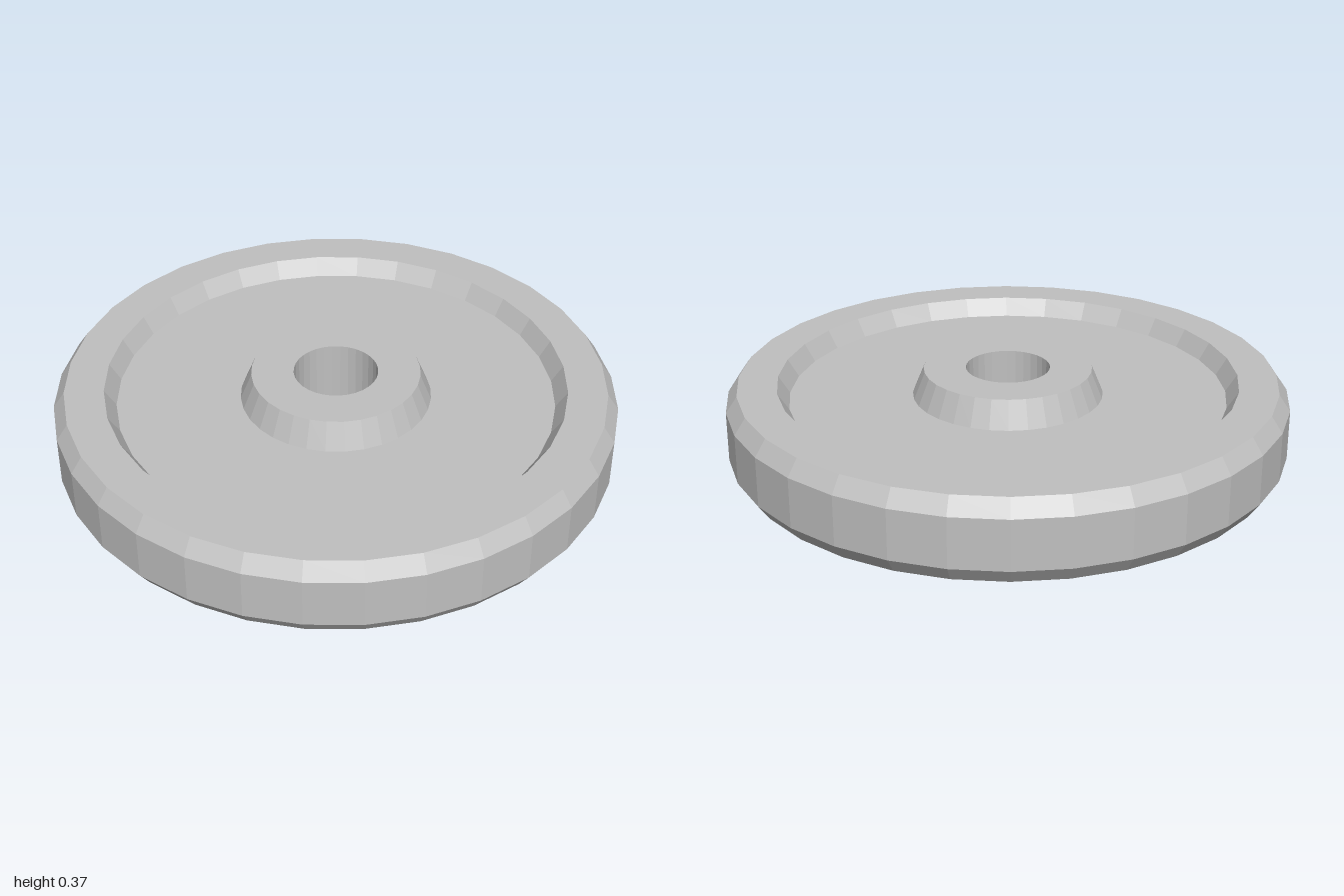
import * as THREE from 'three';

const SIDES = 32;
const MID = 0.1825; // mid-height of the wheel

export function createModel() {
  const wheel = new THREE.Group();
  wheel.name = 'wheel';
  const grey = new THREE.MeshStandardMaterial({ color: 0xc0c0c0, flatShading: true });
  grey.name = 'grey';

  // Lathes an upper half profile [radius, height above middle] plus its mirror image,
  // running from the lower face round the outside to the upper face.
  function turned(name, half, closed) {
    const lower = half.map(([r, h]) => new THREE.Vector2(r, MID - h)).reverse();
    const upper = half.map(([r, h]) => new THREE.Vector2(r, MID + h));
    const points = [...lower, ...upper];
    if (closed) points.push(points[0].clone());
    const mesh = new THREE.Mesh(new THREE.LatheGeometry(points, SIDES), grey);
    mesh.name = name;
    wheel.add(mesh);
  }

  // Chamfered outer rim with a sloping inner lip
  turned('rim', [[1, 0.09], [0.96, 0.1475], [0.82, 0.1475], [0.78, 0.085]], false);

  // Tapered hub with a through bore
  turned('hub', [[0.34, 0.085], [0.3, 0.1825], [0.15, 0.1825]], true);

  // Flat web between hub and rim, one ring per side
  for (const side of [1, -1]) {
    const web = new THREE.Mesh(new THREE.RingGeometry(0.34, 0.78, SIDES), grey);
    web.name = side > 0 ? 'upperWeb' : 'lowerWeb';
    web.rotation.x = -side * Math.PI / 2;
    web.position.y = MID + side * 0.085;
    wheel.add(web);
  }

  return wheel;
}
